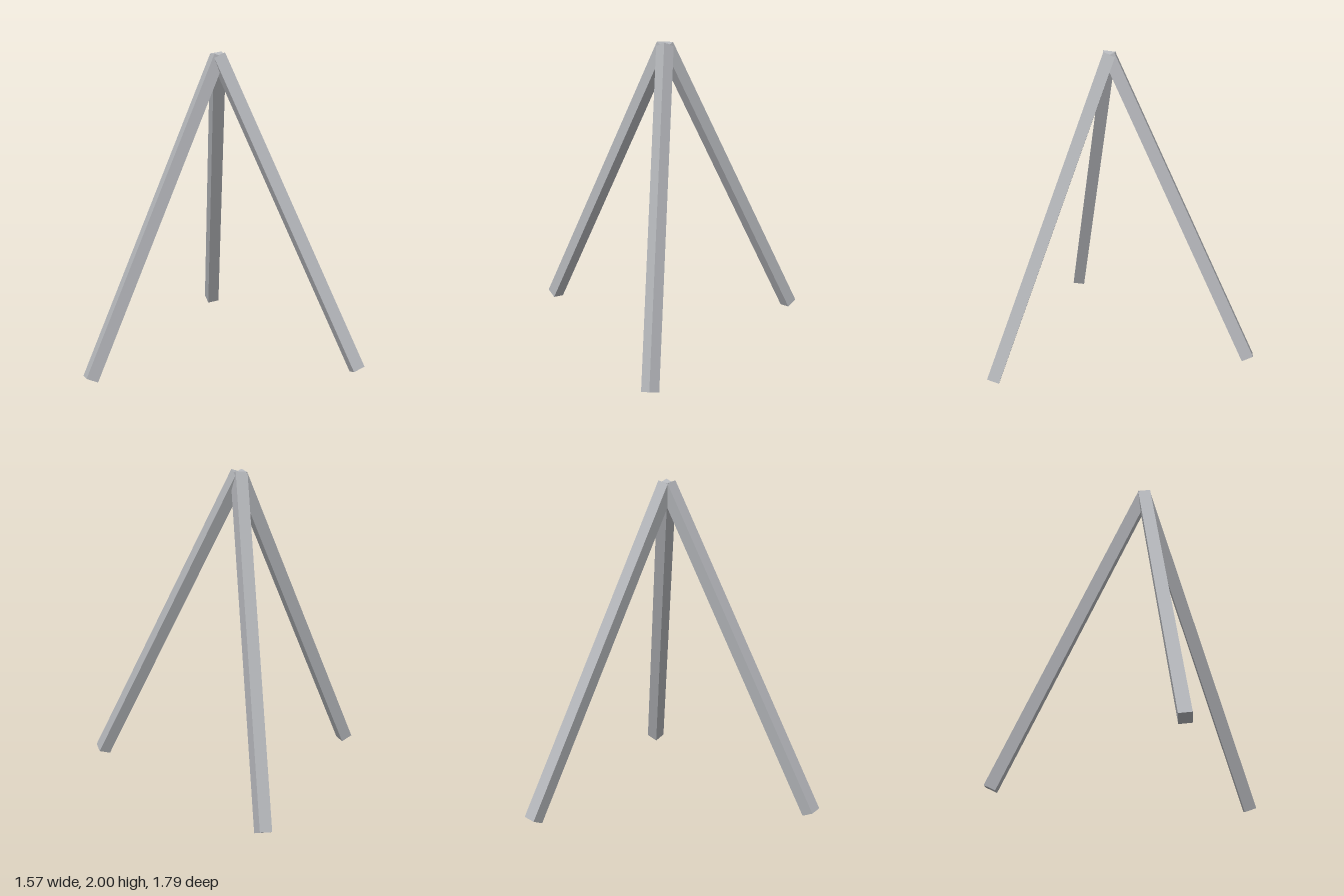
import * as THREE from 'three';

export function createModel() {
  const group = new THREE.Group();
  const grey = new THREE.MeshStandardMaterial({ color: 0xb4b6ba, flatShading: true });
  grey.name = 'light grey';

  // Square bar running from the shared apex down to a foot
  const apex = new THREE.Vector3(-0.24, 1.975, 0);
  const up = new THREE.Vector3(0, 1, 0);
  const addLeg = (name, x, z) => {
    const foot = new THREE.Vector3(x, 0.026, z);
    const axis = apex.clone().sub(foot);
    const leg = new THREE.Mesh(new THREE.CylinderGeometry(0.056, 0.056, axis.length(), 4), grey);
    leg.name = name;
    leg.position.copy(apex).add(foot).multiplyScalar(0.5);
    leg.quaternion.setFromUnitVectors(up, axis.normalize());
    group.add(leg);
  };

  // Three splayed legs of the tripod
  addLeg('leftLeg', 0.733, 0);
  addLeg('frontRightLeg', -0.731, 0.843);
  addLeg('backRightLeg', -0.718, -0.843);
  return group;
}
